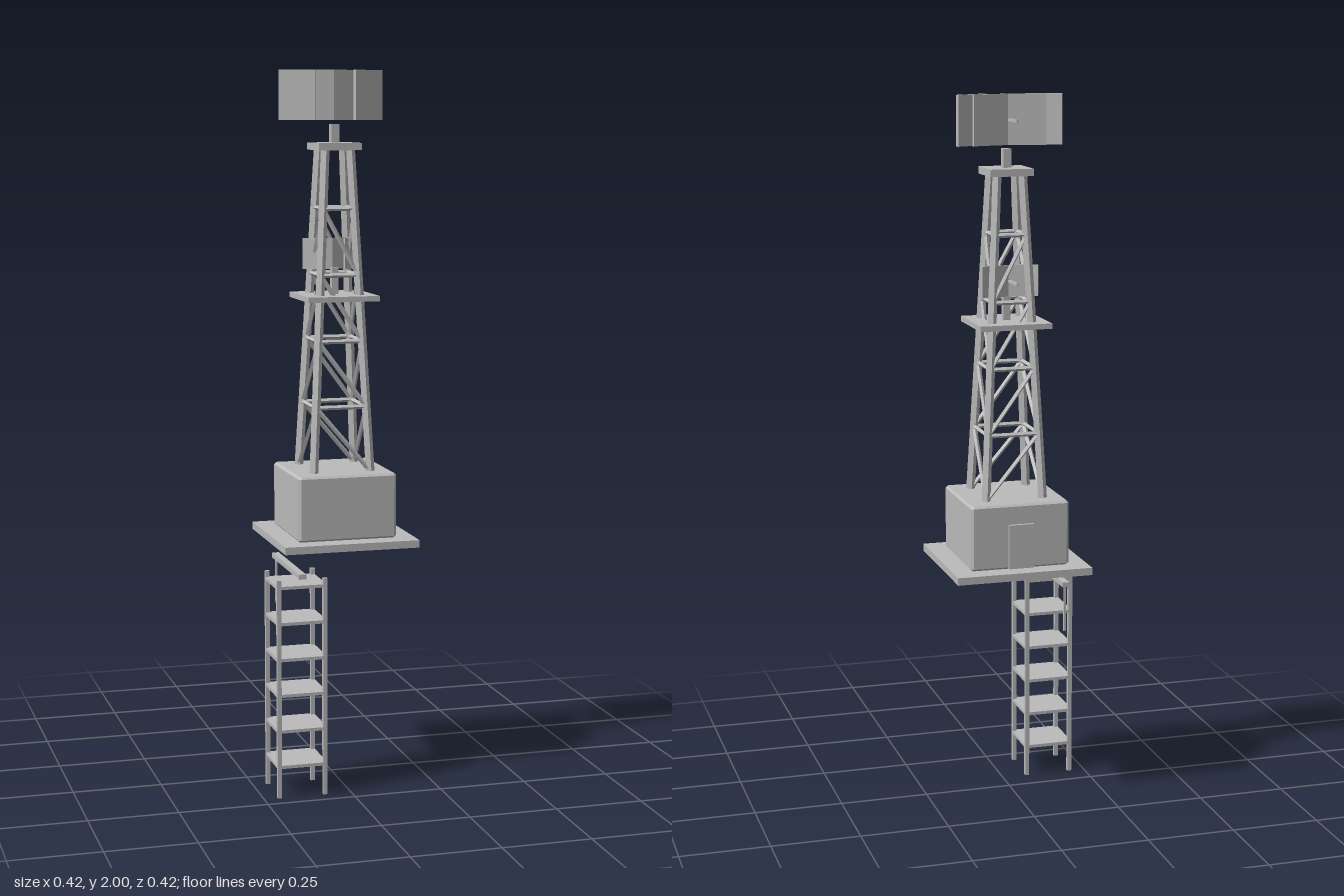
import * as THREE from 'three';

const CX = 0.0145, CZ = -0.0175; // tower axis

export function createModel() {
  const model = new THREE.Group();
  model.name = 'radarTower';
  const grey = new THREE.MeshStandardMaterial({ color: 0xbbbbbb });
  grey.name = 'concreteGrey';

  const add = (parent, name, geometry, x = 0, y = 0, z = 0) => {
    const mesh = new THREE.Mesh(geometry, grey);
    mesh.name = name;
    mesh.position.set(x, y, z);
    parent.add(mesh);
    return mesh;
  };
  const box = (parent, name, w, h, d, x, y, z) =>
    add(parent, name, new THREE.BoxGeometry(w, h, d), x, y, z);
  const group = (name, x = 0, y = 0, z = 0) => {
    const g = new THREE.Group();
    g.name = name;
    g.position.set(x, y, z);
    model.add(g);
    return g;
  };

  // Four-sided bar between two points
  const bar = (parent, name, a, b, r) => {
    const dir = b.clone().sub(a);
    const geo = new THREE.CylinderGeometry(r, r, dir.length(), 4).toNonIndexed();
    geo.computeVertexNormals();
    const mesh = add(parent, name, geo);
    mesh.position.copy(a).add(b).multiplyScalar(0.5);
    mesh.quaternion.setFromUnitVectors(new THREE.Vector3(0, 1, 0), dir.normalize());
  };

  // Upright panel between two plan points
  const panel = (parent, name, x1, z1, x2, z2, h, t) => {
    const m = box(parent, name, Math.hypot(x2 - x1, z2 - z1), h, t, (x1 + x2) / 2, 0, (z1 + z2) / 2);
    m.rotation.y = -Math.atan2(z2 - z1, x2 - x1);
  };

  // Shelf-like scaffold under one corner
  const scaffold = group('scaffold', -0.14, 0, 0.137);
  for (const sx of [-1, 1]) for (const sz of [-1, 1])
    box(scaffold, 'scaffoldPost', 0.012, 0.617, 0.012, sx * 0.0655, 0.3085, sz * 0.0655);
  for (let i = 0; i < 6; i++)
    box(scaffold, 'scaffoldShelf', 0.142, 0.009, 0.142, 0, 0.088 + i * 0.1015, 0);

  // Hoist beam with hanging rope
  box(model, 'hoistBeam', 0.02, 0.014, 0.305, -0.139, 0.624, 0.056);
  box(model, 'hoistRope', 0.006, 0.135, 0.006, -0.139, 0.553, -0.085);

  // Floor slab and bevelled cabin with a back door
  box(model, 'floorSlab', 0.387, 0.021, 0.387, CX, 0.691, CZ);
  const h = 0.136, c = 0.004;
  const plan = new THREE.Shape([
    [-h + c, -h], [h - c, -h], [h, -h + c], [h, h - c],
    [h - c, h], [-h + c, h], [-h, h - c], [-h, -h + c],
  ].map(([x, y]) => new THREE.Vector2(x, y)));
  const cabin = new THREE.ExtrudeGeometry(plan, {
    depth: 0.172, bevelEnabled: true, bevelThickness: 0.006, bevelSize: 0.006, bevelSegments: 1,
  });
  cabin.rotateX(-Math.PI / 2);
  add(model, 'cabin', cabin, CX, 0.707, CZ);
  box(model, 'door', 0.071, 0.125, 0.012, 0.0135, 0.766, -0.163);

  // Tapered lattice mast
  const mast = group('latticeMast', CX, 0, CZ);
  const y0 = 0.885, y1 = 1.79;
  const half = (y) => THREE.MathUtils.mapLinear(y, y0, y1, 0.082, 0.036);
  const corners = [[-1, 1], [1, 1], [1, -1], [-1, -1]];
  const at = ([sx, sz], y) => new THREE.Vector3(sx * half(y), y, sz * half(y));
  for (const k of corners) bar(mast, 'mastLeg', at(k, y0), at(k, y1), 0.0128);
  const levels = [y0, 1.067, 1.251, 1.435, 1.619, y1];
  // Each face runs from its high brace corner to its low brace corner
  const faces = [[0, 1], [3, 2], [1, 2], [0, 3]];
  for (const [a, b] of faces) {
    for (let i = 0; i < 5; i++) {
      if (i > 0) bar(mast, 'crossBar', at(corners[a], levels[i]), at(corners[b], levels[i]), 0.0065);
      if (i < 4) bar(mast, 'diagonalBrace', at(corners[a], levels[i + 1]), at(corners[b], levels[i]), 0.0065);
    }
  }
  box(mast, 'middleDeck', 0.205, 0.015, 0.205, 0, 1.372, 0);
  box(mast, 'topPlate', 0.123, 0.02, 0.123, 0, 1.79, 0);

  // Short posts below the antennas
  box(mast, 'topPost', 0.023, 0.055, 0.024, 0, 1.824, 0);
  box(mast, 'middlePost', 0.02, 0.075, 0.02, 0, 1.415, 0);

  // Panelled antennas: two central panels, two angled wings, rear rod
  const antenna = (name, y, sx, sy, sz) => {
    const g = group(name, CX, y, -0.057);
    const dish = new THREE.Group();
    dish.name = 'dish';
    dish.scale.set(sx, sy, sz);
    g.add(dish);
    for (const s of [-1, 1]) {
      panel(dish, 'centrePanel', s * 0.103, 0.002, 0, 0.026, 0.138, 0.007);
      panel(dish, 'wingPanel', s * 0.148, 0, s * 0.057, 0.047, 0.138, 0.01);
    }
    box(g, 'rearRod', 0.007, 0.007, 0.08, 0, 0, -0.031);
  };
  antenna('topAntenna', 1.931, 1, 1, 1);
  antenna('middleAntenna', 1.491, 0.545, 0.63, 0.7);

  return model;
}
